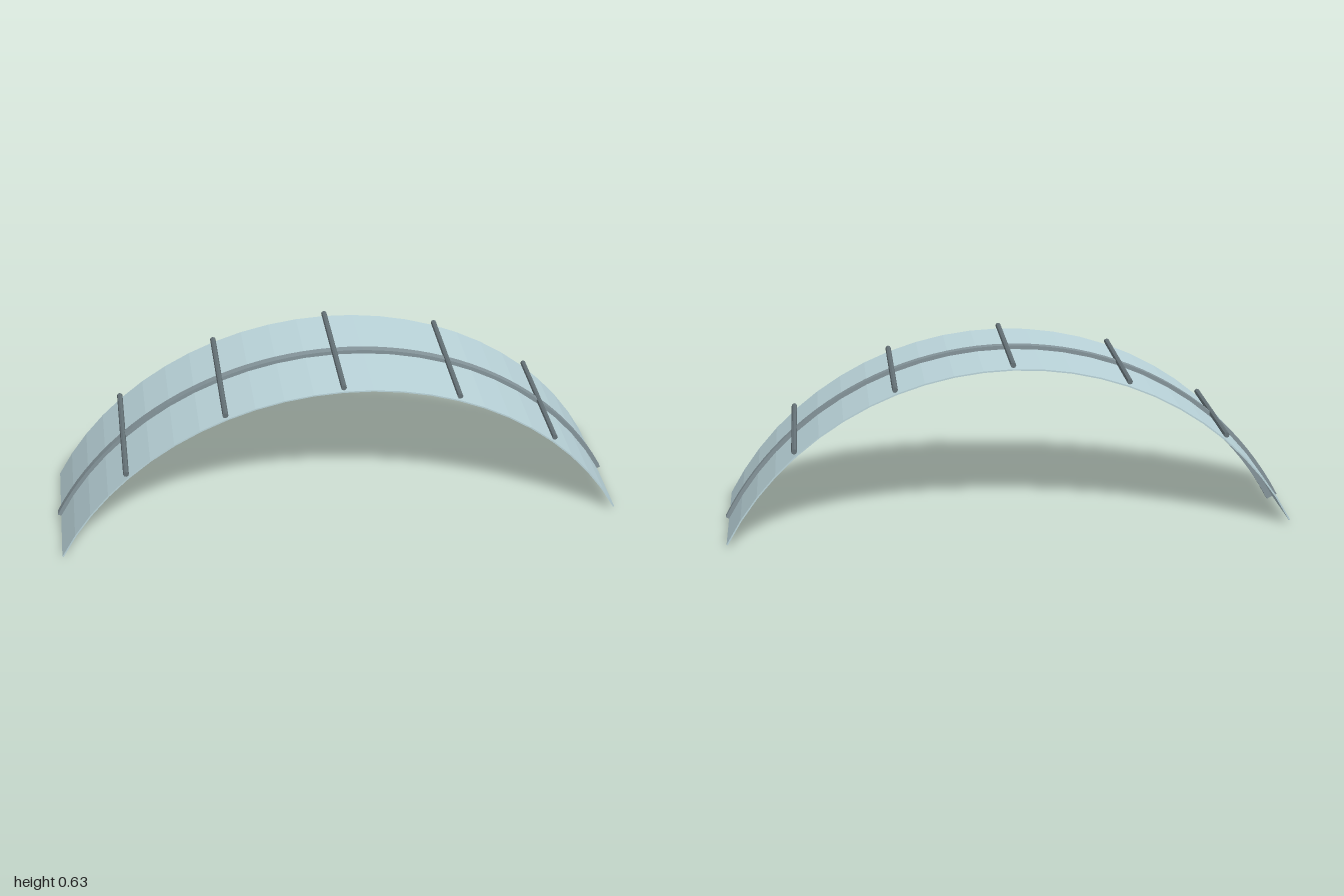
import * as THREE from 'three';

const CENTER_Y = -0.508;                      // centre of the arch circle
const HALF_ANGLE = THREE.MathUtils.degToRad(62.1);

const glass = new THREE.MeshStandardMaterial({ color: 0xbcd6dc });
glass.name = 'paleGlass';
const steel = new THREE.MeshStandardMaterial({ color: 0x86969c });
steel.name = 'greySteel';
const darkSteel = new THREE.MeshStandardMaterial({ color: 0x667378, flatShading: true });
darkSteel.name = 'darkSteel';

// Solid curved band between two radii, centred on z = 0
function archBand(name, inner, outer, width, segments, material) {
  const points = [];
  const addArc = (radius, reverse) => {
    for (let i = 0; i <= segments; i++) {
      const t = (reverse ? segments - i : i) / segments;
      const a = (2 * t - 1) * HALF_ANGLE;
      points.push(new THREE.Vector2(radius * Math.sin(a), CENTER_Y + radius * Math.cos(a)));
    }
  };
  addArc(outer, false);
  addArc(inner, true);
  const geometry = new THREE.ExtrudeGeometry(new THREE.Shape(points), { depth: width, bevelEnabled: false });
  geometry.translate(0, 0, -width / 2);
  const mesh = new THREE.Mesh(geometry, material);
  mesh.name = name;
  return mesh;
}

export function createModel() {
  const model = new THREE.Group();
  model.name = 'archedCanopy';

  // Thin faceted roof sheet and the central rib passing through it
  model.add(archBand('roofSheet', 1.113, 1.118, 0.488, 24, glass));
  model.add(archBand('archRib', 1.091, 1.131, 0.024, 48, steel));

  // Cross bars resting on the rib
  const barGeometry = new THREE.CylinderGeometry(0.0098, 0.0098, 0.482, 8);
  barGeometry.rotateX(Math.PI / 2);
  for (const x of [-0.745, -0.4, 0, 0.4, 0.745]) {
    const bar = new THREE.Mesh(barGeometry, darkSteel);
    bar.name = 'crossBar';
    bar.position.set(x, CENTER_Y + Math.sqrt(1.131 ** 2 - x * x), 0);
    model.add(bar);
  }
  return model;
}
